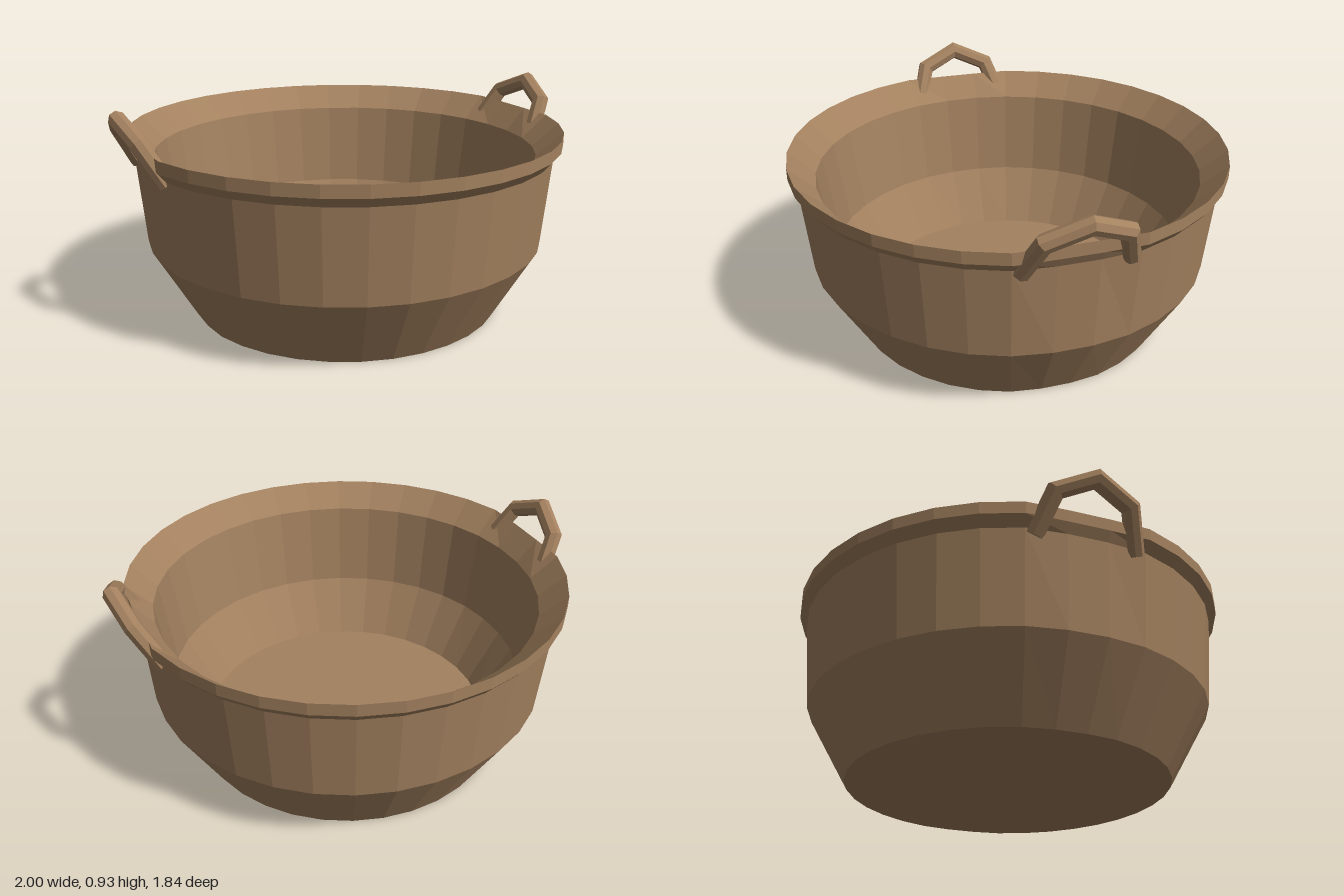
import * as THREE from 'three';

const SIDES = 34;

// Faceted shading: every face gets its own normal
function faceted(geometry) {
  const flat = geometry.index ? geometry.toNonIndexed() : geometry;
  flat.deleteAttribute('uv');
  flat.computeVertexNormals();
  return flat;
}

// Turned part; rings are [radius, y, widest x], so the sides under the handles are flattened
function turned(rings) {
  const points = rings.map(([r, y]) => new THREE.Vector2(r, y));
  const geometry = new THREE.LatheGeometry(points, SIDES);
  const pos = geometry.attributes.position;
  for (let i = 0; i < pos.count; i++) {
    const limit = rings[i % rings.length][2];
    pos.setX(i, THREE.MathUtils.clamp(pos.getX(i), -limit, limit));
  }
  return faceted(geometry);
}

// Bent bar lying in a tilted plane, with mitred octagonal sections
function handleGeometry() {
  const path = [[0.205, 0.0], [0.152, 0.175], [0, 0.25], [-0.152, 0.175], [-0.205, 0.0]]
    .map(([z, s]) => new THREE.Vector2(z, s));
  const base = new THREE.Vector3(0.84, 0.67, 0);
  const up = new THREE.Vector3(0.486, 0.874, 0);
  const out = new THREE.Vector3(0.874, -0.486, 0);
  const radius = 0.036, n = 8;
  const verts = [], index = [];
  path.forEach((p, i) => {
    const a = p.clone().sub(path[Math.max(i - 1, 0)]).normalize();
    const b = path[Math.min(i + 1, path.length - 1)].clone().sub(p).normalize();
    const t = a.clone().add(b).normalize();
    const m = new THREE.Vector2(t.y, -t.x); // across the bar, in its plane
    const stretch = 1 / Math.max(t.dot(a), t.dot(b));
    for (let k = 0; k < n; k++) {
      const angle = ((k + 0.5) / n) * Math.PI * 2;
      const c = Math.cos(angle) * radius * stretch;
      const v = base.clone()
        .addScaledVector(up, p.y + m.y * c)
        .addScaledVector(out, Math.sin(angle) * radius);
      verts.push(v.x, v.y, p.x + m.x * c);
    }
  });
  for (let i = 0; i < path.length - 1; i++) {
    for (let k = 0; k < n; k++) {
      const a = i * n + k, b = i * n + (k + 1) % n;
      index.push(a, b, a + n, b, b + n, a + n);
    }
  }
  // End caps
  const last = (path.length - 1) * n;
  for (let k = 1; k < n - 1; k++) {
    index.push(0, k + 1, k, last, last + k, last + k + 1);
  }
  // Turn the faces outward if the signed volume is negative
  let volume = 0;
  const at = (i) => new THREE.Vector3().fromArray(verts, i * 3).sub(base);
  for (let i = 0; i < index.length; i += 3) {
    volume += at(index[i]).dot(at(index[i + 1]).cross(at(index[i + 2])));
  }
  if (volume < 0) index.reverse();
  const geometry = new THREE.BufferGeometry();
  geometry.setAttribute('position', new THREE.Float32BufferAttribute(verts, 3));
  geometry.setIndex(index);
  return faceted(geometry);
}

export function createModel() {
  const model = new THREE.Group();
  model.name = 'basin';
  const clay = new THREE.MeshStandardMaterial({ color: 0xa3815f });
  clay.name = 'brown clay';

  const add = (name, geometry) => {
    const mesh = new THREE.Mesh(geometry, clay);
    mesh.name = name;
    model.add(mesh);
    return mesh;
  };

  // Base and outer wall
  add('outerWall', turned([
    [0, 0, 1], [0.676, 0, 0.667], [0.85, 0.305, 0.842], [0.885, 0.69, 0.867],
  ]));
  // Overhanging lip with an inward slope
  add('rim', turned([
    [0.885, 0.69, 0.867], [0.918, 0.73, 0.888], [0.918, 0.78, 0.888], [0.81, 0.68, 0.805],
  ]));
  // Inner wall and floor
  add('innerBowl', turned([
    [0.81, 0.68, 0.805], [0.757, 0.31, 0.752], [0.617, 0.07, 0.615], [0, 0.07, 1],
  ]));

  // Pair of handles
  const bar = handleGeometry();
  add('leftHandle', bar);
  add('rightHandle', bar).rotation.y = Math.PI;

  return model;
}
